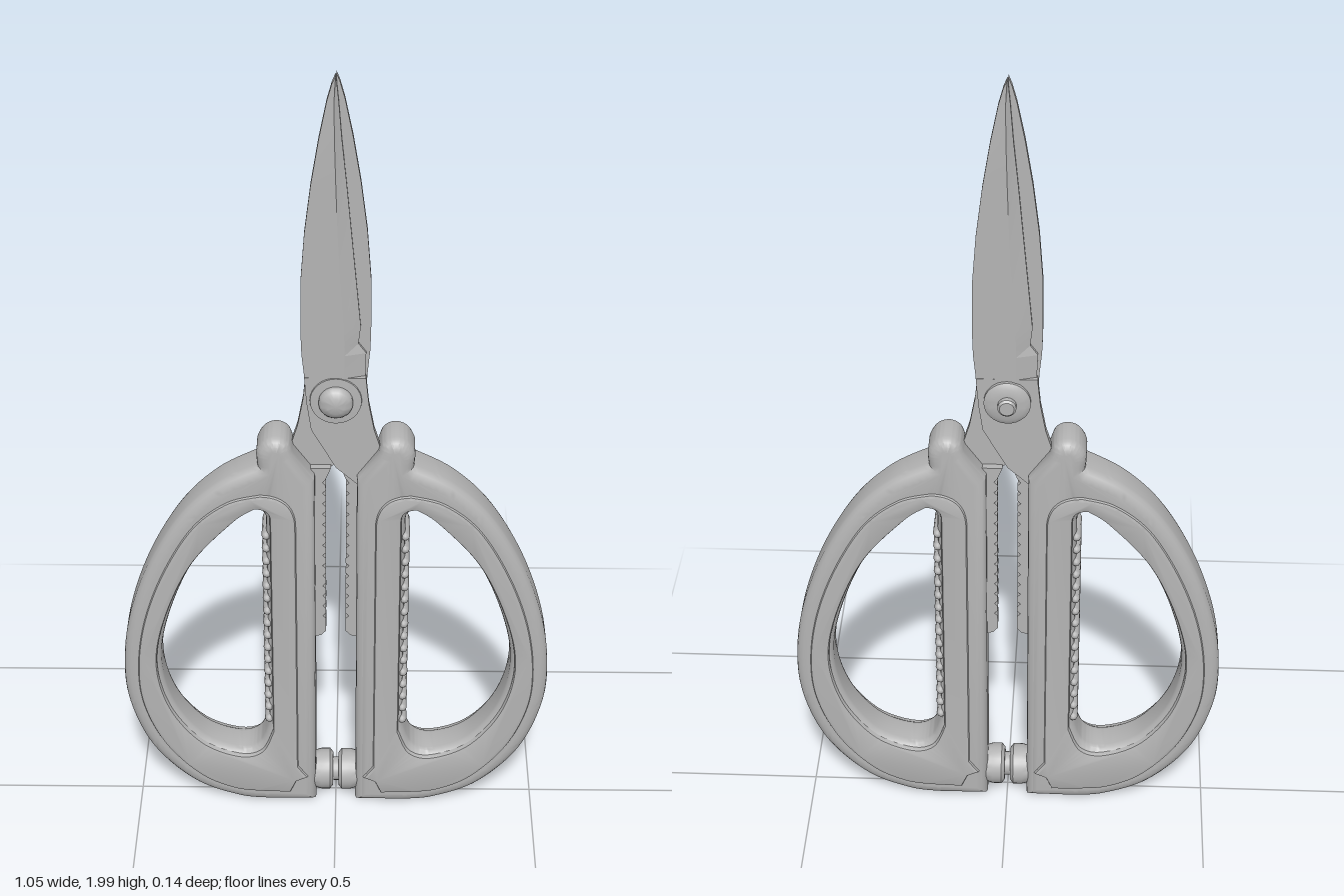
import * as THREE from 'three';
import { toCreasedNormals } from 'three/addons/utils/BufferGeometryUtils.js';

const metal = new THREE.MeshStandardMaterial({ color: 0xb4b4b4 });
metal.name = 'grey';

const vecs = pts => pts.map(([x, y]) => new THREE.Vector2(x, y));

function mesh(name, geometry, parent) {
  const m = new THREE.Mesh(geometry, metal);
  m.name = name;
  parent.add(m);
  return m;
}

// Extrusion centred on z = 0 whose bevel stays inside the outline
function slab(shape, depth, bevel, steps = 4) {
  const g = new THREE.ExtrudeGeometry(shape, {
    depth: depth - 2 * bevel, bevelEnabled: bevel > 0, bevelThickness: bevel,
    bevelSize: bevel, bevelOffset: -bevel, bevelSegments: steps, curveSegments: 10
  });
  return g.translate(0, 0, -depth / 2 + bevel);
}

// Handles get thinner towards their outer side
function taper(g) {
  const p = g.attributes.position;
  for (let i = 0; i < p.count; i++) p.setZ(i, p.getZ(i) * (1 - 0.55 * Math.max(0, p.getX(i) - 0.08)));
  return toCreasedNormals(g, 0.6);
}

// Finger opening, optionally widened
function opening(grow) {
  const pts = [[0.2, 0.9], [0.25, 0.86], [0.345, 0.74], [0.41, 0.58], [0.433, 0.44], [0.405, 0.31],
    [0.335, 0.21], [0.25, 0.17], [0.195, 0.185], [0.167, 0.25]]
    .map(([x, y]) => [0.3 + (x - 0.3) * (1 + grow / 0.133), 0.535 + (y - 0.535) * (1 + grow / 0.365)]);
  const h = new THREE.Path();
  h.moveTo(...pts[0]);
  h.splineThru(vecs(pts.slice(1)));
  h.lineTo(pts[9][0], 0.87 + grow);
  h.quadraticCurveTo(pts[9][0], pts[0][1], ...pts[0]);
  return h;
}

function handle() {
  const group = new THREE.Group();
  group.name = 'handle';

  // Rounded loop with a thumb bump at the top
  const body = new THREE.Shape();
  body.moveTo(0.05, 0.01);
  body.lineTo(0.17, 0.006);
  body.splineThru(vecs([[0.25, 0.014], [0.36, 0.06], [0.46, 0.165], [0.515, 0.3], [0.526, 0.43],
    [0.505, 0.58], [0.45, 0.74], [0.37, 0.88], [0.28, 0.97], [0.185, 1.022]]));
  body.splineThru(vecs([[0.186, 1.06], [0.167, 1.09], [0.138, 1.099], [0.112, 1.085], [0.1, 1.055]]));
  body.lineTo(0.05, 0.985);
  body.closePath();
  body.holes.push(opening(0));
  mesh('handleBody', taper(slab(body, 0.122, 0.028)), group);

  // Raised face on both sides
  const panel = new THREE.Shape();
  panel.moveTo(0.095, 0.13);
  panel.lineTo(0.07, 0.095);
  panel.lineTo(0.1, 0.08);
  panel.lineTo(0.115, 0.045);
  panel.lineTo(0.19, 0.045);
  panel.splineThru(vecs([[0.26, 0.053], [0.345, 0.095], [0.43, 0.19], [0.48, 0.31], [0.49, 0.43],
    [0.47, 0.57], [0.42, 0.715], [0.345, 0.85], [0.26, 0.925], [0.18, 0.95]]));
  panel.quadraticCurveTo(0.1, 0.95, 0.095, 0.87);
  panel.closePath();
  panel.holes.push(opening(0.01));
  mesh('handlePanel', taper(slab(panel, 0.138, 0.008, 2)), group);

  // Grip ridges inside the opening
  for (let i = 0; i < 16; i++) {
    const r = mesh('gripRidge', new THREE.CapsuleGeometry(0.011, 0.085, 3, 8), group);
    r.rotation.x = Math.PI / 2;
    r.position.set(0.167, 0.27 + i * 0.037, 0);
  }

  // Bottom hinge knuckle
  const knuckle = mesh('hingeKnuckle', new THREE.LatheGeometry(
    vecs([[0, 0], [0.042, 0], [0.052, 0.008], [0.052, 0.03], [0.046, 0.05], [0.046, 0.07]]), 28), group);
  knuckle.geometry = toCreasedNormals(knuckle.geometry, 0.6);
  knuckle.rotation.z = -Math.PI / 2;
  knuckle.position.set(0.007, 0.072, 0);
  return group;
}

function blade() {
  const group = new THREE.Group();
  group.name = 'blade';

  // Rows of [y, spine x, ridge x, edge x]
  const rows = [[1.2, -0.07, 0.02, 0.068], [1.26, -0.074, 0.02, 0.068], [1.31, -0.079, 0.02, 0.07],
    [1.335, -0.08, 0.02, 0.052], [1.38, -0.081, 0.018, 0.057], [1.5, -0.08, 0.01, 0.046],
    [1.62, -0.071, 0.004, 0.035], [1.74, -0.056, 0, 0.024], [1.85, -0.038, -0.003, 0.013],
    [1.94, -0.02, -0.004, 0.006], [1.98, -0.009, -0.002, 0.002], [2, -0.001, 0, 0.001]];
  const pos = [], idx = [];
  for (const [y, s, r, e] of rows) {
    const t = y > 1.9 ? 0.8 : 1;
    pos.push(s, y, 0, e, y, 0, e, y, 0.008, r, y, 0.023 * t, s, y, 0.019 * t);
  }
  for (let i = 0; i < rows.length - 1; i++) {
    for (let j = 0; j < 5; j++) {
      const a = i * 5 + j, b = i * 5 + (j + 1) % 5;
      idx.push(a, a + 5, b, b, a + 5, b + 5);
    }
  }
  const g = new THREE.BufferGeometry();
  g.setAttribute('position', new THREE.Float32BufferAttribute(pos, 3));
  g.setIndex(idx);
  mesh('cuttingBlade', toCreasedNormals(g, 0.2), group);

  // Tang crossing into the handle
  const tang = new THREE.Shape(vecs([[-0.072, 1.25], [-0.068, 1.18], [-0.058, 1.11], [0, 1.005],
    [0.06, 0.95], [0.11, 0.95], [0.105, 1.06], [0.09, 1.11], [0.077, 1.18], [0.07, 1.25]]));
  mesh('tang', slab(tang, 0.021, 0).translate(0, 0, 0.0105), group);

  // Toothed strip along the inside of the handle
  const teeth = [[0.06, 1.0], [0.012, 1.0], [0.024, 0.97]];
  for (let y = 0.96; y > 0.54; y -= 0.03) teeth.push([0.032, y], [0.024, y - 0.008], [0.024, y - 0.022]);
  teeth.push([0.024, 0.525], [0.035, 0.512], [0.06, 0.505]);
  mesh('toothedStrip', slab(new THREE.Shape(vecs(teeth)), 0.036, 0), group);
  return group;
}

// Turned part along z at the pivot; dir flips it to the back
function pivotPart(name, profile, dir, parent) {
  const m = mesh(name, toCreasedNormals(new THREE.LatheGeometry(vecs(profile), 32), 0.6), parent);
  m.rotation.x = dir * Math.PI / 2;
  m.position.y = 1.19;
}

export function createModel() {
  const model = new THREE.Group();
  model.name = 'scissors';

  // Two identical halves, one turned half a revolution
  for (const side of ['left', 'right']) {
    const half = new THREE.Group();
    half.name = side + 'Half';
    half.add(handle(), blade());
    if (side === 'right') half.rotation.y = Math.PI;
    model.add(half);
  }

  // Pin joining the hinge knuckles
  const pin = mesh('hingePin', new THREE.CylinderGeometry(0.03, 0.03, 0.06, 20), model);
  pin.rotation.z = Math.PI / 2;
  pin.position.y = 0.072;

  // Pivot rivet: domed head in front, washer and stud behind
  pivotPart('rivetHead', [[0.062, 0.015], [0.06, 0.025], [0.04, 0.026], [0.04, 0.035], [0.034, 0.044],
    [0.02, 0.051], [0, 0.053]], 1, model);
  pivotPart('rivetWasher', [[0.055, 0.015], [0.055, 0.03], [0.042, 0.038], [0.022, 0.039],
    [0.022, 0.051], [0.017, 0.056], [0, 0.056]], -1, model);
  return model;
}
